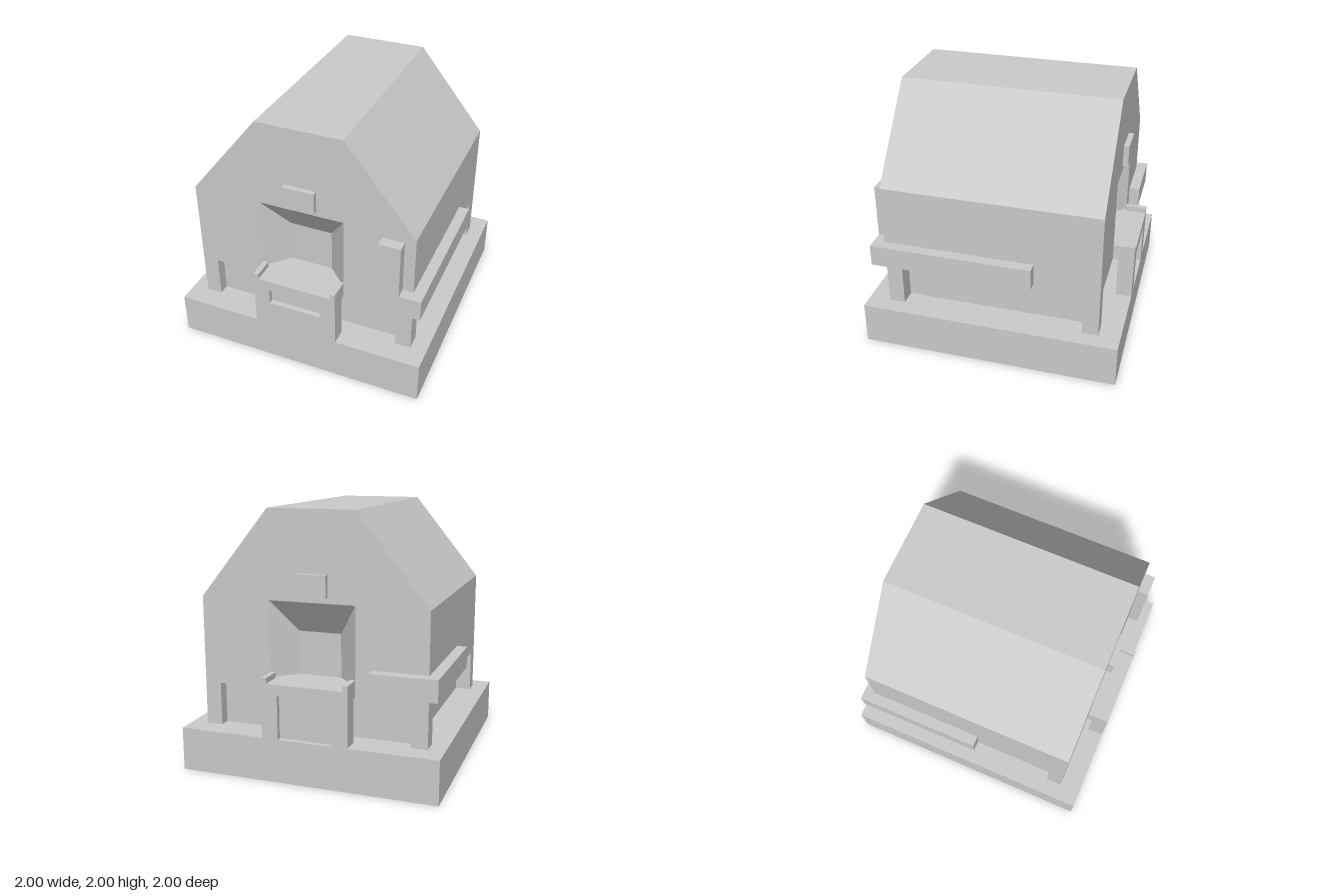
import * as THREE from 'three';

const material = new THREE.MeshStandardMaterial({ color: 0xcccccc, flatShading: true });
const U = 1 / 24; // all sizes sit on a grid of 1/24 unit

function add(parent, name, geometry) {
  const mesh = new THREE.Mesh(geometry, material);
  mesh.name = name;
  parent.add(mesh);
  return mesh;
}

// Box from min and max corners in grid units
function box(parent, name, x0, x1, y0, y1, z0, z1) {
  const g = new THREE.BoxGeometry((x1 - x0) * U, (y1 - y0) * U, (z1 - z0) * U);
  g.translate((x0 + x1) / 2 * U, (y0 + y1) / 2 * U, (z0 + z1) / 2 * U);
  return add(parent, name, g);
}

const outline = (pts) => pts.map(([x, y]) => new THREE.Vector2(x * U, y * U));

function extrude(shape, z0, z1) {
  const g = new THREE.ExtrudeGeometry(shape, { depth: (z1 - z0) * U, bevelEnabled: false });
  return g.translate(0, 0, z0 * U);
}

const gable = () => new THREE.Shape(outline(
  [[-21, 16], [21, 16], [21, 32], [8, 48], [-8, 48], [-21, 32]]));

// Gable wall whose opening narrows towards the inside
function gableWall() {
  const shape = gable();
  shape.holes.push(new THREE.Path(outline([[-8, 18], [-8, 32], [8, 32], [8, 18]])));
  const g = extrude(shape, 16, 20);
  const p = g.attributes.position;
  for (let i = 0; i < p.count; i++) {
    const x = p.getX(i), y = p.getY(i);
    if (p.getZ(i) < 17 * U && Math.abs(x) < 9 * U && y < 33 * U) {
      p.setX(i, x / 2);
      if (y > 30 * U) p.setY(i, 26 * U);
    }
  }
  g.computeVertexNormals();
  return g;
}

// One end of the building: gable wall, plaque and porch
function makeEnd(name, sillHeight) {
  const end = new THREE.Group();
  end.name = name;
  add(end, 'gableWall', gableWall());
  box(end, 'plaque', -3, 3, 33, 37, 20, 21);
  box(end, 'porchDeck', -8, 8, 16, 18, 20, 24);
  box(end, 'porchPanel', -8, 8, 8, 16, 21, 23);
  for (const s of [-1, 1]) {
    box(end, 'porchJamb', s * 6.5 - 1.5, s * 6.5 + 1.5, 8, 16, 23, 24);
    box(end, 'porchCurb', s * 7.5 - 0.5, s * 7.5 + 0.5, 18, 19, 20, 24);
  }
  if (sillHeight > 0) box(end, 'porchSill', -5, 5, 8, 8 + sillHeight, 23, 24);
  return end;
}

export function createModel() {
  const model = new THREE.Group();
  model.name = 'gabledBuilding';

  // Plinth, recessed lower core and corner posts
  box(model, 'plinth', -24, 24, 0, 8, -24, 24);
  box(model, 'lowerCore', -18, 18, 8, 16, -18, 18);
  for (const sx of [-1, 1]) for (const sz of [-1, 1]) {
    box(model, 'cornerPost', sx * 19.5 - 1.5, sx * 19.5 + 1.5, 8, 16, sz * 18.5 - 1.5, sz * 18.5 + 1.5);
  }

  // Upper body with the sloped roof
  add(model, 'upperBody', extrude(gable(), -16, 16));

  // Front and back ends
  model.add(makeEnd('frontEnd', 5));
  const back = makeEnd('backEnd', 0);
  back.rotation.y = Math.PI;
  model.add(back);

  // Front corner band: upright joined to a rail that runs along the left side
  const band = new THREE.Shape(outline([[15, 17], [23, 17], [23, 21], [19, 21], [19, 31], [15, 31]]));
  add(model, 'frontBand', extrude(band, 20, 22));
  box(model, 'leftRail', 21, 23, 17, 21, -8, 20);

  // Back corner band: low rail wrapping onto the right side
  box(model, 'backBand', -23, -11, 17, 21, -22, -20);
  box(model, 'rightRail', -23, -21, 17, 21, -20, 2);

  return model;
}
